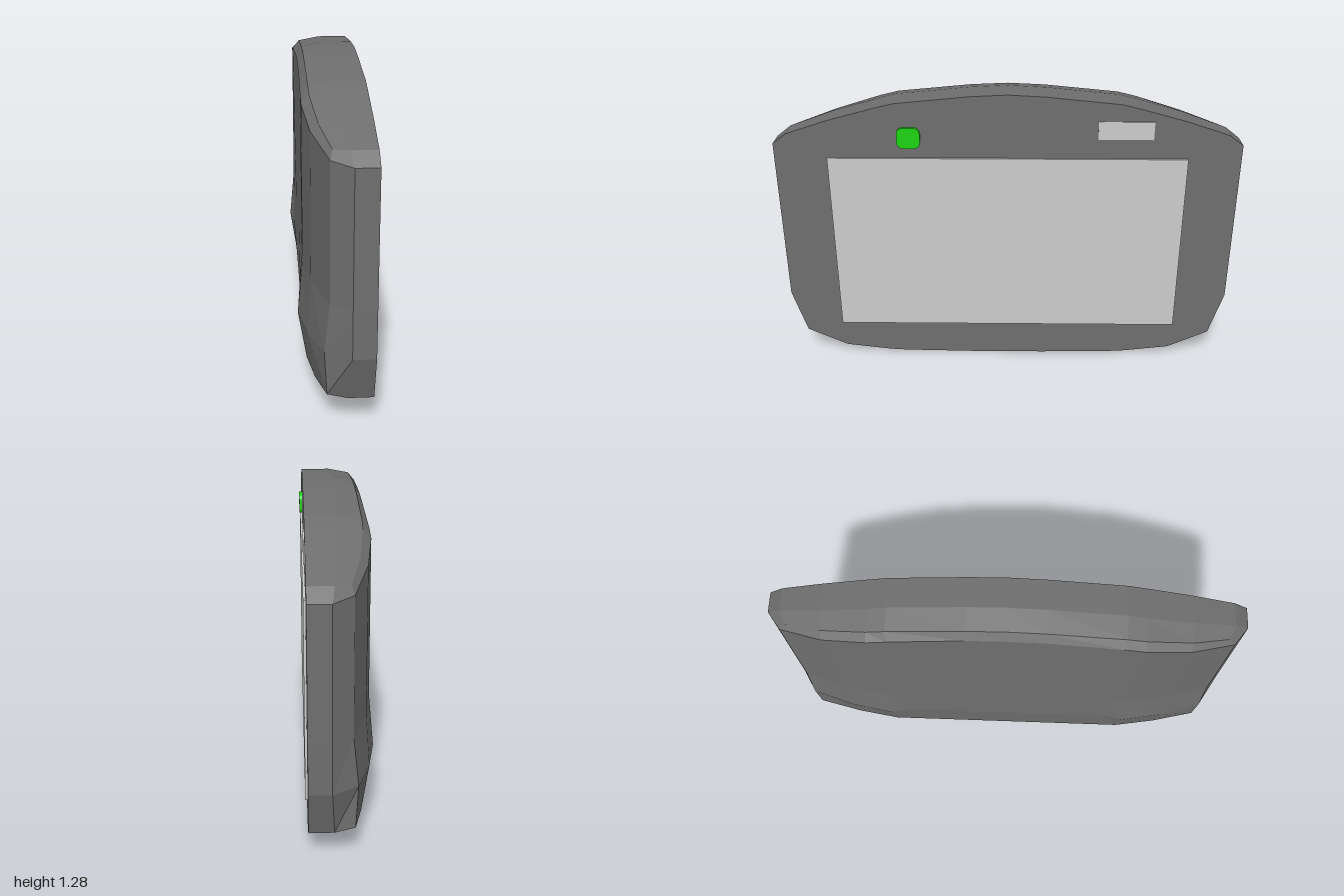
import * as THREE from 'three';

// Half outline of the case, top centre round to bottom centre: [z, y, x of rear rim]
const OUTLINE = [
  [0, 1.28, 0], [0.16, 1.272, 0], [0.48, 1.24, 0], [0.56, 1.22, 0], [0.76, 1.165, 0.01],
  [0.94, 1.105, 0.03], [1, 1.06, 0.04], [1, 0.52, 0.04], [1, 0.32, 0.04], [0.94, 0.12, 0.03],
  [0.76, 0.035, 0.01], [0.56, 0.01, 0], [0.48, 0.005, 0], [0.16, 0, 0], [0, 0, 0],
];

// Columns of the back panel: z, then [y, x] from top to bottom
const COLUMNS = [
  [0, [1.22, -0.12], [0.52, -0.125], [0.29, -0.128], [0.08, -0.11]],
  [0.16, [1.215, -0.12], [0.52, -0.125], [0.29, -0.128], [0.08, -0.11]],
  [0.48, [1.185, -0.125], [0.52, -0.125], [0.29, -0.13], [0.08, -0.11]],
  [0.56, [1.17, -0.125], [0.52, -0.125], [0.29, -0.145], [0.08, -0.11]],
  [0.75, [1.12, -0.1], [0.52, -0.1], [0.3, -0.115], [0.1, -0.085]],
  [0.94, [1.07, -0.04], [0.52, -0.04], [0.32, -0.06], [0.14, -0.05]],
];

// Upper bevel between the rear rim and the back panel: [z, y, x]
const BEVEL = [
  [0, 1.26, -0.095], [0.16, 1.253, -0.095], [0.48, 1.222, -0.095],
  [0.56, 1.203, -0.093], [0.755, 1.148, -0.07], [0.91, 1.1, -0.03],
];

const mirrorZ = (p) => new THREE.Vector3(p.x, p.y, -p.z);
const fullRing = (half) => [...half, ...half.slice(1, -1).reverse().map(mirrorZ)];

function caseGeometry() {
  const pos = [];
  const tri = (a, b, c) => {
    if (a.equals(b) || b.equals(c) || a.equals(c)) return;
    for (const p of [a, b, c]) pos.push(p.x, p.y, p.z);
  };
  const quad = (a, b, c, d) => { tri(a, b, c); tri(a, c, d); };

  const columns = COLUMNS.map(([z, ...rows]) => rows.map(([y, x]) => new THREE.Vector3(x, y, z)));
  const side = columns[5];

  // Rings running round the case from the front face to the back panel
  const front = OUTLINE.map(([z, y]) => new THREE.Vector3(0.13, y, z));
  const rim = OUTLINE.map(([z, y, x]) => new THREE.Vector3(x, y, z));
  const back = [
    ...columns.slice(0, 5).map((c) => c[0]), side[0], ...side,
    ...columns.slice(0, 5).reverse().map((c) => c[3]),
  ];
  const bevel = back.map((p, i) => (i < BEVEL.length
    ? new THREE.Vector3(BEVEL[i][2], BEVEL[i][1], BEVEL[i][0]) : p));
  const rings = [front, rim, bevel, back].map(fullRing);
  const n = rings[0].length;
  const centre = new THREE.Vector3(0.13, 0.64, 0);
  for (let i = 0; i < n; i++) {
    const k = (i + 1) % n;
    tri(centre, rings[0][i], rings[0][k]);
    for (let r = 0; r < 3; r++) quad(rings[r][i], rings[r + 1][i], rings[r + 1][k], rings[r][k]);
  }

  // Back panel, with its raised lower corners
  const all = [...columns.slice(1).reverse().map((c) => c.map(mirrorZ)), ...columns];
  for (let j = 0; j < all.length - 1; j++) {
    for (let r = 0; r < 3; r++) quad(all[j][r], all[j][r + 1], all[j + 1][r + 1], all[j + 1][r]);
  }

  const geometry = new THREE.BufferGeometry();
  geometry.setAttribute('position', new THREE.Float32BufferAttribute(pos, 3));
  geometry.computeVertexNormals();
  return geometry;
}

// Rounded button, thin and facing +x
function buttonGeometry() {
  const w = 0.05, h = 0.046, r = 0.028;
  const s = new THREE.Shape();
  s.absarc(w - r, h - r, r, 0, Math.PI / 2);
  s.absarc(r - w, h - r, r, Math.PI / 2, Math.PI);
  s.absarc(r - w, r - h, r, Math.PI, Math.PI * 1.5);
  s.absarc(w - r, r - h, r, Math.PI * 1.5, Math.PI * 2);
  return new THREE.ExtrudeGeometry(s, { depth: 0.018, bevelEnabled: false, curveSegments: 3 })
    .rotateY(Math.PI / 2);
}

export function createModel() {
  const model = new THREE.Group();
  model.name = 'handheldDisplay';
  const material = (color) => new THREE.MeshStandardMaterial({ color, flatShading: true });
  const add = (name, geometry, color, x, y, z) => {
    const mesh = new THREE.Mesh(geometry, material(color));
    mesh.name = name;
    mesh.position.set(x, y, z);
    model.add(mesh);
  };

  add('case', caseGeometry(), 0x6e6e6e, 0, 0, 0);
  add('screen', new THREE.BoxGeometry(0.02, 0.835, 1.545), 0xcccccc, 0.129, 0.58, 0);
  add('labelPlate', new THREE.BoxGeometry(0.02, 0.08, 0.235), 0xcccccc, 0.125, 1.125, -0.502);
  add('powerButton', buttonGeometry(), 0x1bd30f, 0.125, 1.09, 0.42);
  return model;
}
